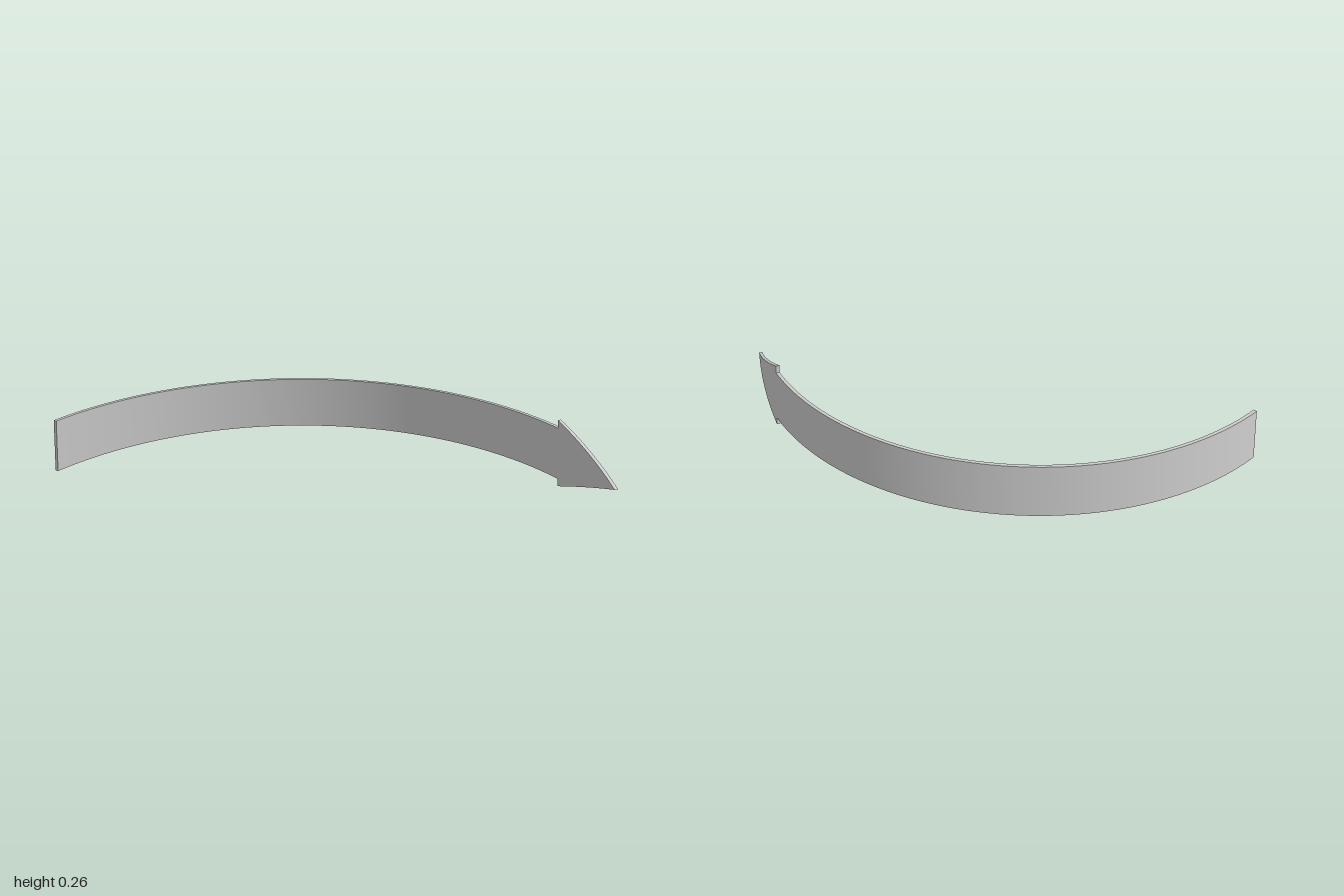
import * as THREE from 'three';
import { toCreasedNormals } from 'three/addons/utils/BufferGeometryUtils.js';

const CENTER_X = -0.01, CENTER_Z = 0.814; // axis of the bend
const MID_Y = 0.131;                      // centre line height
const RADIUS = 1.1225;                    // outer radius at the centre line
const LEAN = 0.085;                       // radius lost per unit of height
const THICKNESS = 0.0135;

// Point on the leaning (conical) wall; angle 0 is the middle of the back
function wallPoint(angle, y, inset) {
  const r = RADIUS - LEAN * (y - MID_Y) - inset;
  return [CENTER_X + r * Math.sin(angle), y, CENTER_Z - r * Math.cos(angle)];
}

// Bent slab whose half height runs evenly from h0 to h1 between two angles
function bentSlab(a0, a1, h0, h1, segments) {
  const sections = [];
  for (let i = 0; i <= segments; i++) {
    const t = i / segments;
    const angle = a0 + (a1 - a0) * t;
    const h = h0 + (h1 - h0) * t;
    sections.push([
      wallPoint(angle, MID_Y - h, 0),
      wallPoint(angle, MID_Y + h, 0),
      wallPoint(angle, MID_Y + h, THICKNESS),
      wallPoint(angle, MID_Y - h, THICKNESS),
    ]);
  }
  const positions = [];
  const quad = (a, b, c, d) => positions.push(...a, ...b, ...c, ...a, ...c, ...d);
  for (let i = 0; i < segments; i++) {
    const s = sections[i], n = sections[i + 1];
    for (let k = 0; k < 4; k++) {
      const m = (k + 1) % 4;
      quad(s[k], s[m], n[m], n[k]);
    }
  }
  // End caps
  const first = sections[0], last = sections[segments];
  quad(first[3], first[2], first[1], first[0]);
  quad(...last);

  const geometry = new THREE.BufferGeometry();
  geometry.setAttribute('position', new THREE.Float32BufferAttribute(positions, 3));
  return toCreasedNormals(geometry, 0.6);
}

export function createModel() {
  const group = new THREE.Group();
  group.name = 'curvedArrow';
  const material = new THREE.MeshStandardMaterial({ color: 0xcccccc });
  const add = (name, geometry) => {
    const mesh = new THREE.Mesh(geometry, material);
    mesh.name = name;
    group.add(mesh);
  };

  // Long band, then the pointed head that is a little taller at its shoulders
  add('shaft', bentSlab(-1.068, 0.811, 0.1005, 0.1005, 72));
  add('arrowHead', bentSlab(0.811, 1.107, 0.131, 0, 16));
  return group;
}
